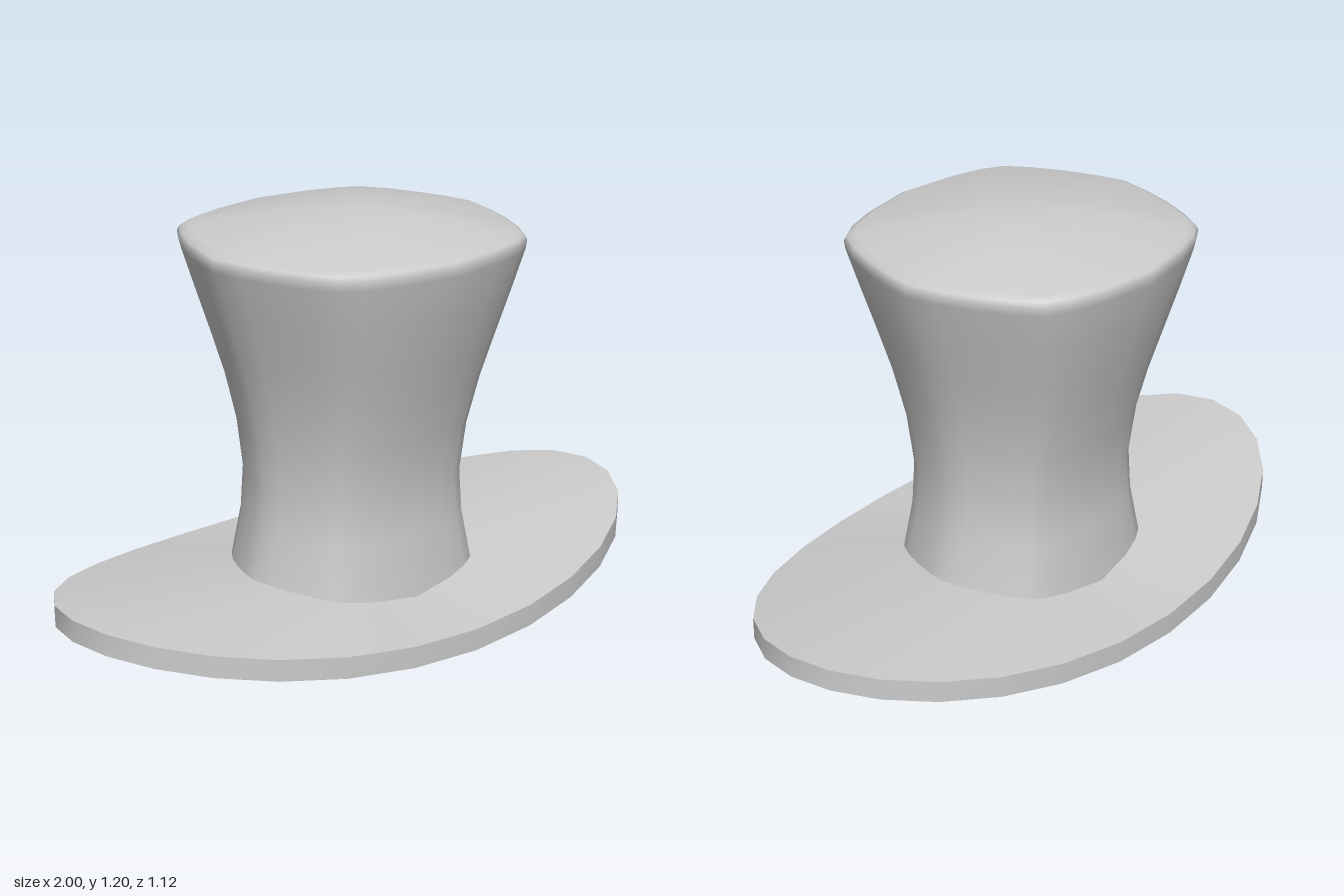
import * as THREE from 'three';
import { mergeVertices, toCreasedNormals } from 'three/addons/utils/BufferGeometryUtils.js';

// One quadrant of the rounded-square crown outline, from the side (+x) to the front (+z)
const CROWN = [[1, 0], [0.96, 0.2], [0.9, 0.4], [0.81, 0.62], [0.71, 0.79], [0.58, 0.87], [0.37, 0.94], [0, 1]];
// One quadrant of the elliptical brim outline
const RIM = CROWN.map((_, i) => [Math.cos(i * Math.PI / 14), Math.sin(i * Math.PI / 14)]);

// Mirror a quadrant into a full loop of unit points
function fullLoop(q) {
  const n = q.length - 1, out = [];
  for (let i = 0; i < n; i++) out.push(q[i]);
  for (let i = n; i > 0; i--) out.push([-q[i][0], q[i][1]]);
  for (let i = 0; i < n; i++) out.push([-q[i][0], -q[i][1]]);
  for (let i = n; i > 0; i--) out.push([q[i][0], -q[i][1]]);
  return out;
}

// Ring of 3D points: outline scaled by rx, rz, at a height given by a number or a rule
function ring(outline, rx, rz, y) {
  return fullLoop(outline).map(([x, z]) => [x * rx, typeof y === 'function' ? y(x, z) : y, z * rz]);
}

// Skin a list of rings
function loft(rings) {
  const n = rings[0].length, index = [];
  for (let r = 0; r < rings.length - 1; r++) {
    for (let i = 0; i < n; i++) {
      const a = r * n + i, b = r * n + (i + 1) % n;
      index.push(a, a + n, b, b, a + n, b + n);
    }
  }
  const g = new THREE.BufferGeometry();
  g.setAttribute('position', new THREE.Float32BufferAttribute(rings.flat(2), 3));
  g.setIndex(index);
  const merged = mergeVertices(g, 1e-4);
  merged.computeVertexNormals();
  return merged;
}

export function createModel() {
  const group = new THREE.Group();
  const material = new THREE.MeshStandardMaterial({ color: 0xcccccc });
  const thick = 0.065;

  // Brim: sides curl up, front and back dip down, with a hole for the head
  const rimY = (lift) => (x) => 0.125 * x * x + lift;
  const holeY = (lift) => (x) => 0.02 + 0.05 * Math.pow(Math.abs(x), 1.3) + lift;
  const brimGeometry = toCreasedNormals(loft([
    ring(RIM, 1, 0.56, rimY(0)),
    ring(RIM, 1, 0.56, rimY(thick)),
    ring(CROWN, 0.355, 0.29, holeY(thick)),
    ring(CROWN, 0.355, 0.29, holeY(0)),
    ring(RIM, 1, 0.56, rimY(0)),
  ]), 0.7);
  const brim = new THREE.Mesh(brimGeometry, material);
  brim.name = 'brim';
  group.add(brim);

  // Crown: flared wall [y, half width, half depth], then the domed top [y, scale]
  const wall = [
    [0.27, 0.34, 0.285], [0.4, 0.33, 0.28], [0.55, 0.34, 0.305], [0.7, 0.37, 0.345],
    [0.82, 0.405, 0.382], [0.96, 0.45, 0.424], [1.085, 0.49, 0.459], [1.11, 0.495, 0.462],
  ];
  const dome = [[1.125, 0.985], [1.136, 0.94], [1.177, 0.55], [1.195, 0.25], [1.2, 0]];
  const skin = 0.02;
  const outer = [
    ring(CROWN, 0.375, 0.31, holeY(thick - 0.03)),
    ring(CROWN, 0.372, 0.308, holeY(thick)),
    ...wall.map(([y, rx, rz]) => ring(CROWN, rx, rz, y)),
    ...dome.map(([y, s]) => ring(CROWN, 0.495 * s, 0.462 * s, y)),
  ];
  // Hollow inside, followed back down to the hole in the brim
  const inner = [
    ring(CROWN, 0, 0, 1.2 - skin),
    ring(CROWN, 0.27, 0.25, 1.177 - skin),
    ...wall.slice().reverse().map(([y, rx, rz]) => ring(CROWN, rx - skin, rz - skin, y)),
    ring(CROWN, 0.355, 0.29, holeY(thick)),
    ring(CROWN, 0.355, 0.29, holeY(thick - 0.03)),
  ];
  [['crown', outer], ['crownLining', inner]].forEach(([name, rings]) => {
    const mesh = new THREE.Mesh(loft(rings), material);
    mesh.name = name;
    group.add(mesh);
  });

  return group;
}
